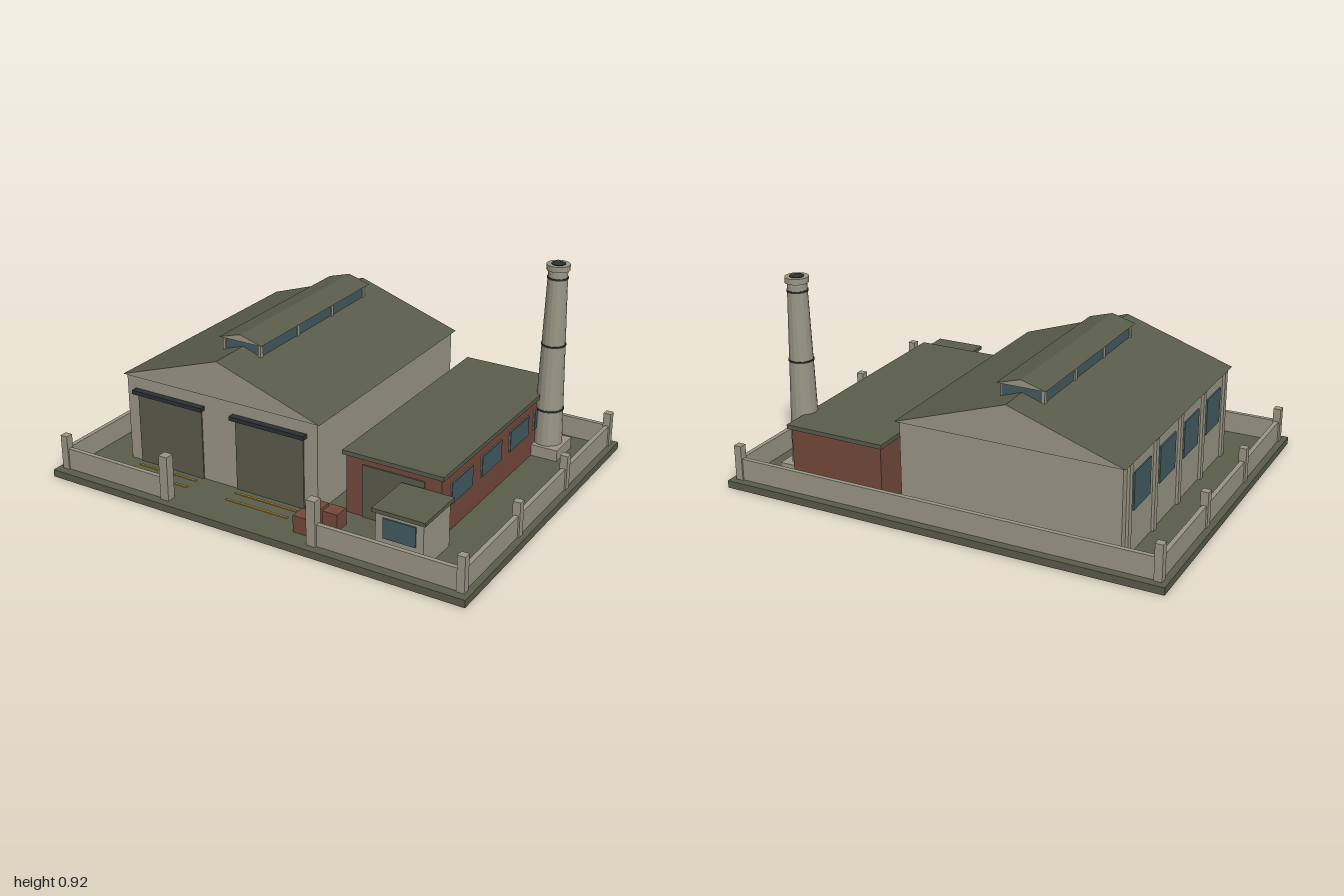
import * as THREE from 'three';

const mat = (name, color) => {
  const m = new THREE.MeshStandardMaterial({ color });
  m.name = name;
  return m;
};

export function createModel() {
  const olive = mat('olive', 0x5a5c4b);
  const concrete = mat('concrete', 0x9a9786);
  const brick = mat('brick', 0x74493a);
  const glass = mat('glass', 0x425b61);
  const iron = mat('dark iron', 0x2c3033);
  const yellow = mat('marking yellow', 0xb08c35);

  const model = new THREE.Group();
  model.name = 'factoryYard';
  const G = 0.033; // yard surface height

  const add = (name, geometry, material, parent = model) => {
    const mesh = new THREE.Mesh(geometry, material);
    mesh.name = name;
    parent.add(mesh);
    return mesh;
  };
  const group = (name) => {
    const g = new THREE.Group();
    g.name = name;
    model.add(g);
    return g;
  };
  // box given by its extents on each axis
  const box = (name, m, x0, x1, y0, y1, z0, z1, parent) => {
    const mesh = add(name, new THREE.BoxGeometry(x1 - x0, y1 - y0, z1 - z0), m, parent);
    mesh.position.set((x0 + x1) / 2, (y0 + y1) / 2, (z0 + z1) / 2);
    return mesh;
  };
  // gabled roof along z: concrete gables, olive slopes
  const gable = (name, x0, x1, y0, y1, z0, z1, parent) => {
    const s = new THREE.Shape();
    s.moveTo(x0, y0);
    s.lineTo(x1, y0);
    s.lineTo((x0 + x1) / 2, y1);
    s.closePath();
    const g = new THREE.ExtrudeGeometry(s, { depth: z1 - z0, bevelEnabled: false });
    g.translate(0, 0, z0);
    return add(name, g, [concrete, olive], parent);
  };

  box('yardSlab', olive, -1, 1, 0, G, -0.767, 0.767);

  // Main hall
  const hall = group('mainHall');
  box('hallWalls', concrete, -0.785, 0.185, G, 0.435, -0.675, 0.49, hall);
  gable('hallRoof', -0.8, 0.2, 0.435, 0.602, -0.69, 0.5, hall);
  for (const x of [-0.558, -0.048]) {
    box('hallDoor', olive, x - 0.168, x + 0.168, G, 0.36, 0.49, 0.496, hall);
    box('doorHood', iron, x - 0.183, x + 0.183, 0.36, 0.378, 0.49, 0.52, hall);
    for (const z of [0.53, 0.595])
      box('groundStripe', yellow, x - 0.153, x + 0.153, G, G + 0.004, z - 0.005, z + 0.005, hall);
  }
  // left wall pilasters and windows between them
  for (let i = 0; i < 5; i++) {
    const z = -0.092 + (i - 2) * 0.266;
    box('pilaster', concrete, -0.797, -0.785, G, 0.435, z - 0.015, z + 0.015, hall);
    if (i < 4)
      box('hallWindow', glass, -0.791, -0.785, 0.215, 0.375, z + 0.05, z + 0.216, hall);
  }

  // Glazed ridge vent
  const vent = group('ridgeVent');
  box('ventGlass', glass, -0.393, -0.211, 0.55, 0.63, -0.55, 0.305, vent);
  gable('ventRoof', -0.41, -0.194, 0.629, 0.66, -0.565, 0.323, vent);
  for (const z of [-0.54, -0.26, 0.02, 0.303])
    for (const x of [-0.392, -0.212])
      box('ventPost', concrete, x - 0.006, x + 0.006, 0.55, 0.629, z - 0.01, z + 0.01, vent);

  // Brick workshop
  const shop = group('brickWorkshop');
  box('workshopWalls', brick, 0.28, 0.715, G, 0.298, -0.675, 0.42, shop);
  box('workshopRoof', olive, 0.266, 0.729, 0.298, 0.317, -0.69, 0.432, shop);
  box('workshopDoor', olive, 0.357, 0.64, G, 0.27, 0.42, 0.426, shop);
  for (const z of [0.248, -0.022, -0.294, -0.543]) {
    box('windowFrame', concrete, 0.715, 0.718, 0.152, 0.25, z - 0.096, z + 0.096, shop);
    box('windowGlass', glass, 0.715, 0.722, 0.155, 0.247, z - 0.092, z + 0.092, shop);
  }

  // Gatehouse
  const gatehouse = group('gatehouse');
  box('gatehouseWalls', concrete, 0.557, 0.768, G, 0.231, 0.447, 0.665, gatehouse);
  box('gatehouseRoof', olive, 0.545, 0.78, 0.231, 0.248, 0.437, 0.677, gatehouse);
  box('gatehouseWindow', glass, 0.592, 0.736, 0.125, 0.213, 0.665, 0.671, gatehouse);

  // Chimney
  const chimney = group('chimney');
  chimney.position.set(0.757, 0, -0.522);
  const round = (name, m, r0, r1, y0, y1) => {
    const g = new THREE.CylinderGeometry(r1, r0, y1 - y0, 16).toNonIndexed();
    g.computeVertexNormals();
    add(name, g, m, chimney).position.y = (y0 + y1) / 2;
  };
  box('chimneyBase', concrete, -0.081, 0.081, G, 0.085, -0.081, 0.081, chimney);
  round('chimneyShaft', concrete, 0.065, 0.042, 0.085, 0.89);
  round('chimneyCap', concrete, 0.051, 0.051, 0.89, 0.915);
  round('chimneyFlue', iron, 0.031, 0.031, 0.9, 0.918);
  for (const y of [0.248, 0.55, 0.855]) {
    const r = 0.065 - 0.023 * (y - 0.085) / 0.805 + 0.003;
    round('chimneyBand', iron, r, r, y - 0.004, y + 0.004);
  }

  // Boundary wall with posts and a front gateway
  const fence = group('boundaryWall');
  const T = 0.01, X = 0.96, ZB = -0.72, ZF = 0.713, H = 0.13;
  const post = (name, x, z, r, h) => box(name, concrete, x - r, x + r, G, h, z - r, z + r, fence);
  box('backWall', concrete, -X, X, G, H, ZB - T, ZB + T, fence);
  box('frontWallRight', concrete, -X, -0.418, G, H, ZF - T, ZF + T, fence);
  box('frontWallLeft', concrete, 0.304, X, G, H, ZF - T, ZF + T, fence);
  for (const s of [-1, 1]) {
    box('sideWall', concrete, s * X - T, s * X + T, G, H, ZB, ZF, fence);
    for (const z of [ZB, -0.235, 0.233, ZF]) post('wallPost', s * X, z, 0.017, 0.19);
  }
  for (const x of [-0.418, 0.304]) post('gatePost', x, ZF, 0.021, 0.235);

  // Crates by the gateway
  for (const [x, z] of [[0.218, 0.548], [0.3, 0.548], [0.218, 0.64]])
    box('crate', brick, x - 0.035, x + 0.035, G, 0.108, z - 0.035, z + 0.035);

  return model;
}
